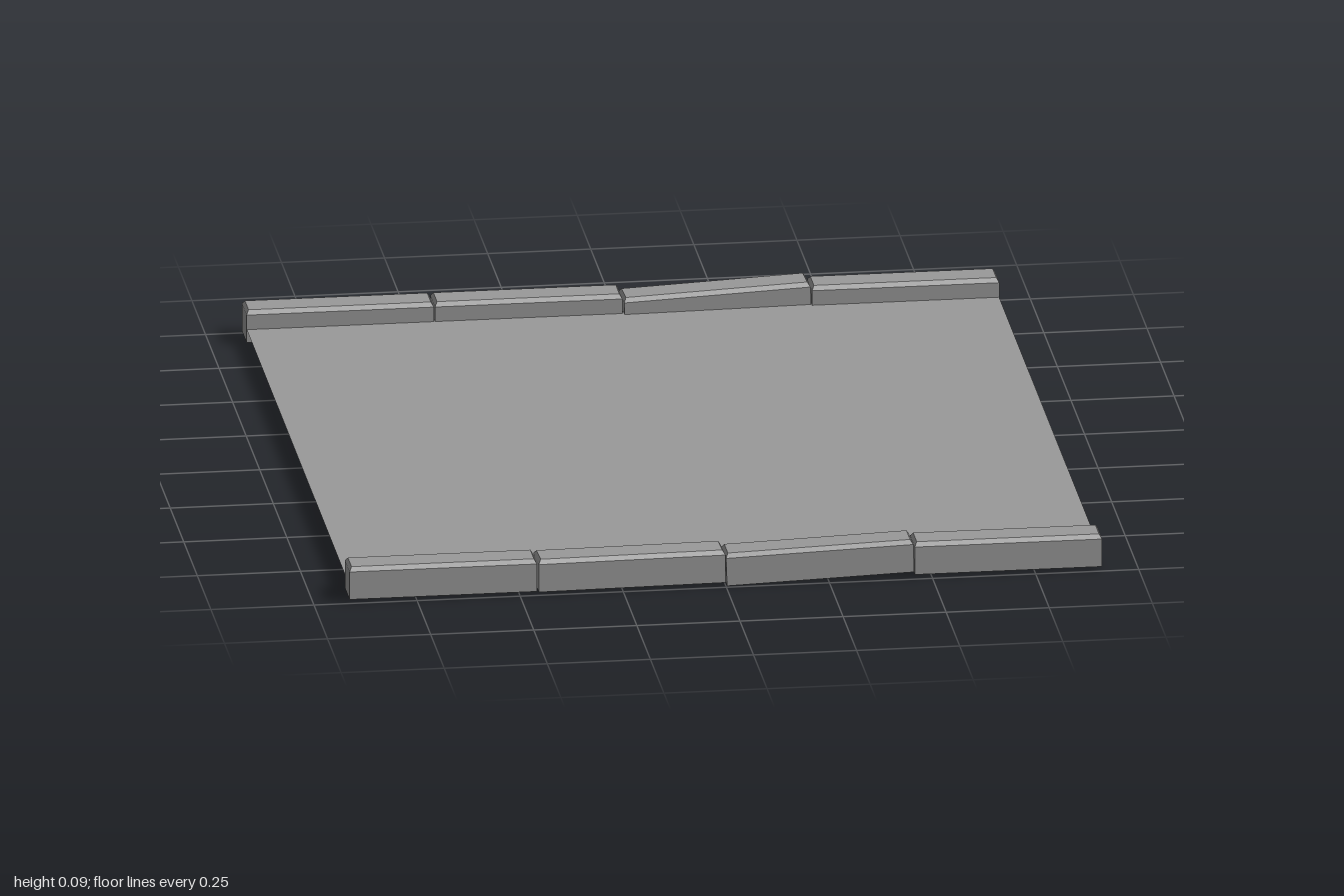
import * as THREE from 'three';

const LEN = 0.454, H = 0.08, W = 0.087, BEVEL = 0.01;

// Curb stone: box with a chamfered top and an open underside
function curbGeometry() {
  const g = new THREE.BoxGeometry(LEN, H, W, 1, 2, 1);
  const p = g.attributes.position;
  for (let i = 0; i < p.count; i++) {
    const y = p.getY(i);
    if (y > H / 4) {
      p.setX(i, p.getX(i) - Math.sign(p.getX(i)) * BEVEL * 0.6);
      p.setZ(i, p.getZ(i) - Math.sign(p.getZ(i)) * BEVEL);
    } else if (y > -H / 4) {
      p.setY(i, H / 2 - BEVEL);
    }
  }
  // Drop the bottom face (fourth side of the box)
  const bottom = g.groups[3];
  g.setIndex(Array.from(g.index.array).filter(
    (_, i) => i < bottom.start || i >= bottom.start + bottom.count));
  g.clearGroups();
  g.computeVertexNormals();
  return g;
}

export function createModel() {
  const model = new THREE.Group();
  const mat = new THREE.MeshStandardMaterial({
    color: 0x9a9a9a, flatShading: true, side: THREE.DoubleSide });

  // Flat road surface
  const road = new THREE.Mesh(new THREE.PlaneGeometry(1.824, 1.84), mat);
  road.name = 'roadSurface';
  road.rotation.x = -Math.PI / 2;
  road.position.y = 0.041;
  model.add(road);

  // Curb rows, some stones slightly out of line: [z, yaw, roll]
  const rows = {
    frontCurb: [[0.949, 0, 0], [0.949, 0.025, 0], [0.947, 0, 0.033], [0.945, 0, 0]],
    backCurb: [[-0.95, 0, 0], [-0.95, 0, 0], [-0.949, 0.033, 0.033], [-0.95, 0, 0]],
  };
  const geo = curbGeometry();
  for (const [name, stones] of Object.entries(rows)) {
    const row = new THREE.Group();
    row.name = name;
    stones.forEach(([z, yaw, roll], i) => {
      const stone = new THREE.Mesh(geo, mat);
      stone.name = 'curbStone' + (i + 1);
      stone.position.set((i - 1.5) * 0.457, 0.008 + H / 2, z);
      stone.rotation.set(0, yaw, roll);
      row.add(stone);
    });
    model.add(row);
  }
  return model;
}
